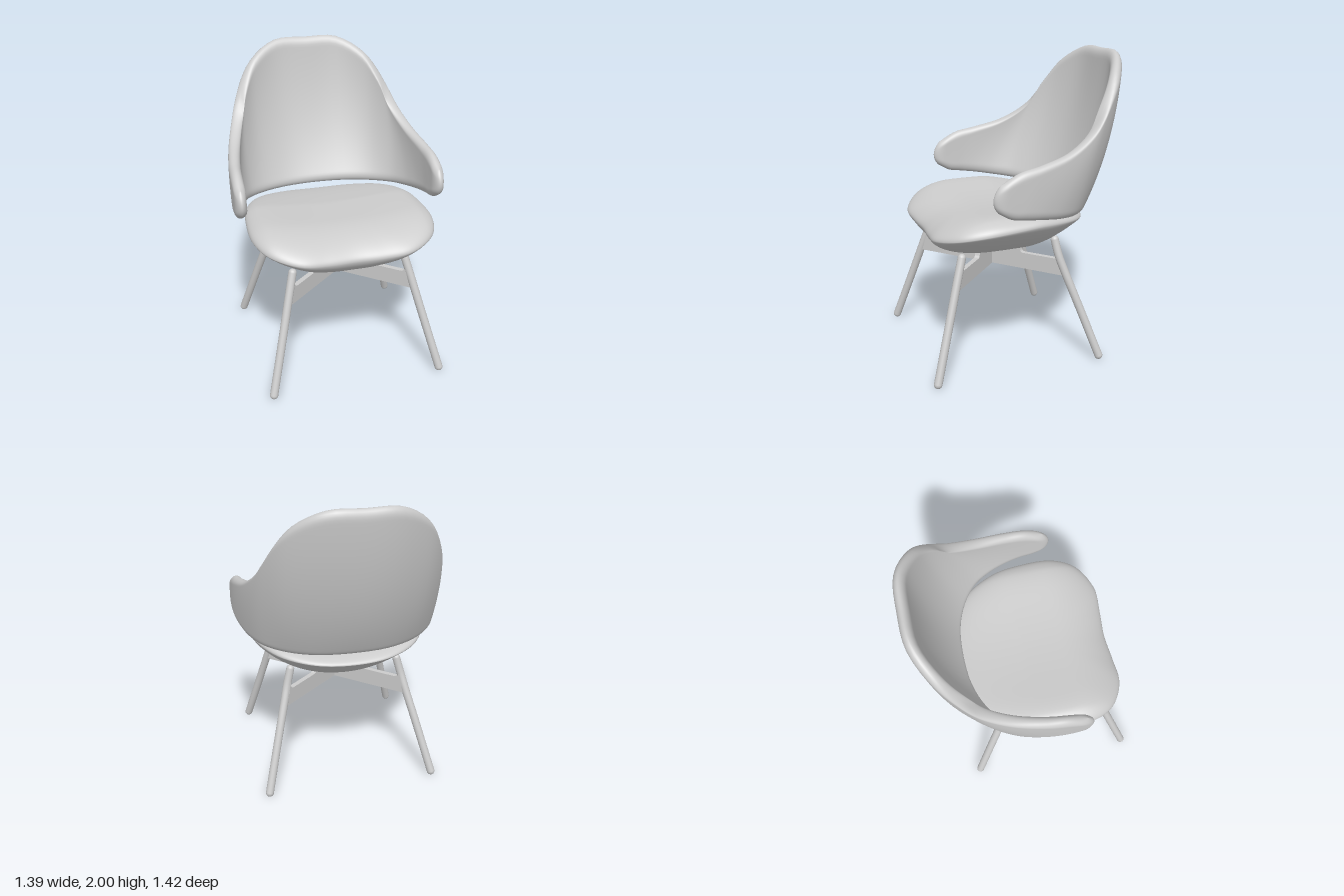
import * as THREE from 'three';
import { mergeVertices } from 'three/addons/utils/BufferGeometryUtils.js';

const material = new THREE.MeshStandardMaterial({ color: 0xcccccc, roughness: 0.7 });
const V = (x, y, z) => new THREE.Vector3(x, y, z);

function mesh(name, geometry) {
  const m = new THREE.Mesh(geometry, material);
  m.name = name;
  return m;
}

// Two sheets over an (n+1) x (m+1) grid, welded along their shared border
function twoSidedGrid(n, m, point) {
  const pos = [], index = [];
  for (const side of [1, -1]) {
    const base = pos.length / 3;
    for (let i = 0; i <= n; i++)
      for (let j = 0; j <= m; j++) pos.push(...point(i / n, j / m, side).toArray());
    for (let i = 0; i < n; i++)
      for (let j = 0; j < m; j++) {
        const a = base + i * (m + 1) + j, b = a + m + 1, c = b + 1, d = a + 1;
        if (side > 0) index.push(a, b, c, a, c, d);
        else index.push(a, c, b, a, d, c);
      }
  }
  const g = new THREE.BufferGeometry();
  g.setAttribute('position', new THREE.Float32BufferAttribute(pos, 3));
  g.setIndex(index);
  const merged = mergeVertices(g, 1e-5);
  merged.computeVertexNormals();
  return merged;
}

// Wraparound back: bottom, middle and top lines from the centre to the arm tip
const bottomLine = [
  [0, 1.0, -0.405], [0.22, 1.0, -0.385], [0.39, 1.005, -0.32], [0.52, 1.015, -0.22], [0.59, 1.03, -0.1],
  [0.63, 1.05, 0.03], [0.648, 1.065, 0.14], [0.652, 1.08, 0.23], [0.653, 1.125, 0.31]];
const middleLine = [
  [0, 1.45, -0.585], [0.23, 1.46, -0.565], [0.42, 1.43, -0.475], [0.535, 1.39, -0.35], [0.59, 1.32, -0.23],
  [0.628, 1.27, -0.08], [0.65, 1.24, 0.08], [0.655, 1.22, 0.2], [0.655, 1.205, 0.34]];
const topLine = [
  [0, 2.0, -0.675], [0.22, 1.995, -0.66], [0.4, 1.89, -0.565], [0.49, 1.74, -0.47], [0.55, 1.57, -0.36],
  [0.607, 1.45, -0.18], [0.645, 1.39, 0.03], [0.655, 1.36, 0.17], [0.655, 1.295, 0.295]];

function mirroredCurve(pts) {
  const left = pts.slice(1).reverse().map(([x, y, z]) => V(-x, y, z));
  return new THREE.CatmullRomCurve3([...left, ...pts.map(p => V(...p))]);
}

function createBackShell() {
  const [B, M, T] = [bottomLine, middleLine, topLine].map(mirroredCurve);
  const surface = (u, v) => {
    const p = B.getPoint(u).multiplyScalar((1 - v) * (1 - 2 * v));
    p.addScaledVector(M.getPoint(u), 4 * v * (1 - v));
    return p.addScaledVector(T.getPoint(u), v * (2 * v - 1));
  };
  const round = d => Math.sqrt(Math.max(0, 1 - (1 - Math.min(d, 1)) ** 2));
  const ease = t => 0.5 - 0.5 * Math.cos(Math.PI * t);
  const e = 0.002, rim = 0.055, half = 0.038;
  return twoSidedGrid(100, 44, (s, t, side) => {
    const u = ease(s), v = ease(t);
    const u0 = Math.max(0, u - e), u1 = Math.min(1, u + e);
    const v0 = Math.max(0, v - e), v1 = Math.min(1, v + e);
    const du = surface(u1, v).sub(surface(u0, v));
    const dv = surface(u, v1).sub(surface(u, v0));
    const normal = du.cross(dv).normalize();
    const height = B.getPoint(u).distanceTo(T.getPoint(u));
    const thickness = half * round(Math.min(v, 1 - v) * height / rim) * round(Math.min(u, 1 - u) * 1.6 / rim);
    return surface(u, v).addScaledVector(normal, side * thickness);
  });
}

// Seat cushion: rings inside a plan outline, domed dish on top and keel-like below
function createSeat() {
  const halfOutline = [[0, -0.45], [0.25, -0.42], [0.45, -0.3], [0.565, -0.1], [0.605, 0.12], [0.603, 0.36],
    [0.53, 0.52], [0.36, 0.62], [0.18, 0.618], [0, 0.605]];
  const other = halfOutline.slice(1, -1).reverse().map(([x, z]) => [-x, z]);
  const outline = new THREE.CatmullRomCurve3([...halfOutline, ...other].map(([x, z]) => V(x, 0, z)), true);
  const centre = V(0, 0, 0.1);
  const topY = (x, z) => 1.015 + 0.05 * Math.min(1, (x / 0.52) ** 2)
    - 0.6 * Math.max(0, z - 0.28) ** 2 - 0.1 * Math.max(0, -z);
  const bottomY = (x, z) => 0.705 + 0.48 * x * x + 0.9 * Math.max(0, -z) ** 2 + 0.25 * Math.max(0, z - 0.25) ** 2;
  const rimY = (x, z) => 0.92 + 0.07 * (x / 0.6) ** 2 - 0.05 * Math.max(0, z / 0.6);
  return twoSidedGrid(96, 28, (u, t, side) => {
    const s = Math.sin(t * Math.PI / 2);
    const rim = outline.getPoint(u % 1);
    const p = centre.clone().lerp(rim, s);
    const edge = rimY(rim.x, rim.z);
    const fill = side > 0 ? Math.sqrt(1 - s ** 5) : Math.pow(Math.max(0, 1 - s ** 4), 0.6);
    const target = side > 0 ? topY(p.x, p.z) : bottomY(p.x, p.z);
    p.y = edge + (target - edge) * fill;
    return p;
  });
}

// Round leg along a path with domed ends
function createLeg(name, points) {
  const leg = new THREE.Group();
  leg.name = name;
  const r = 0.027;
  const path = new THREE.CatmullRomCurve3(points.map(p => V(...p)));
  leg.add(mesh('legShaft', new THREE.TubeGeometry(path, 32, r, 16)));
  for (const end of [points[0], points[points.length - 1]]) {
    const cap = mesh('legEnd', new THREE.SphereGeometry(r, 16, 12));
    cap.position.set(...end);
    leg.add(cap);
  }
  return leg;
}

// Flat crossing brace with a raised middle and flared ends
function createBrace() {
  const shape = new THREE.Shape();
  shape.moveTo(-0.555, 0.57);
  shape.lineTo(0.555, 0.57);
  shape.lineTo(0.515, 0.725);
  shape.quadraticCurveTo(0.52, 0.68, 0.48, 0.68);
  shape.lineTo(0.255, 0.68);
  shape.quadraticCurveTo(0.235, 0.68, 0.23, 0.7);
  shape.lineTo(0.215, 0.75);
  shape.lineTo(-0.215, 0.75);
  shape.lineTo(-0.23, 0.7);
  shape.quadraticCurveTo(-0.235, 0.68, -0.255, 0.68);
  shape.lineTo(-0.48, 0.68);
  shape.quadraticCurveTo(-0.52, 0.68, -0.515, 0.725);
  const g = new THREE.ExtrudeGeometry(shape, { depth: 0.034, bevelEnabled: false, curveSegments: 6 });
  return g.translate(0, 0, -0.017);
}

export function createModel() {
  const chair = new THREE.Group();
  chair.name = 'chair';
  const seatGeometry = createSeat();
  // Rings run outward, so flip the winding if the sheets face inward
  const top = seatGeometry.attributes.normal.getY(0);
  if (top < 0) {
    const idx = seatGeometry.index.array;
    for (let i = 0; i < idx.length; i += 3) [idx[i], idx[i + 1]] = [idx[i + 1], idx[i]];
    seatGeometry.computeVertexNormals();
  }
  chair.add(mesh('backShell', createBackShell()), mesh('seat', seatGeometry));

  // Legs, mirrored left and right
  for (const [side, k] of [['left', 1], ['right', -1]]) {
    chair.add(createLeg(side + 'FrontLeg',
      [[k * 0.565, 0.027, 0.68], [k * 0.47, 0.4, 0.567], [k * 0.41, 0.64, 0.495], [k * 0.377, 0.77, 0.455]]));
    chair.add(createLeg(side + 'RearLeg',
      [[k * 0.565, 0.027, -0.43], [k * 0.47, 0.4, -0.305], [k * 0.415, 0.61, -0.233],
        [k * 0.393, 0.7, -0.205], [k * 0.365, 0.81, -0.185]]));
  }

  // Crossed braces between diagonal legs
  const braceGeometry = createBrace();
  for (const k of [1, -1]) {
    const brace = mesh('crossBrace', braceGeometry);
    brace.position.z = 0.13;
    brace.rotation.y = k * Math.atan2(0.365, 0.405);
    chair.add(brace);
  }
  return chair;
}
